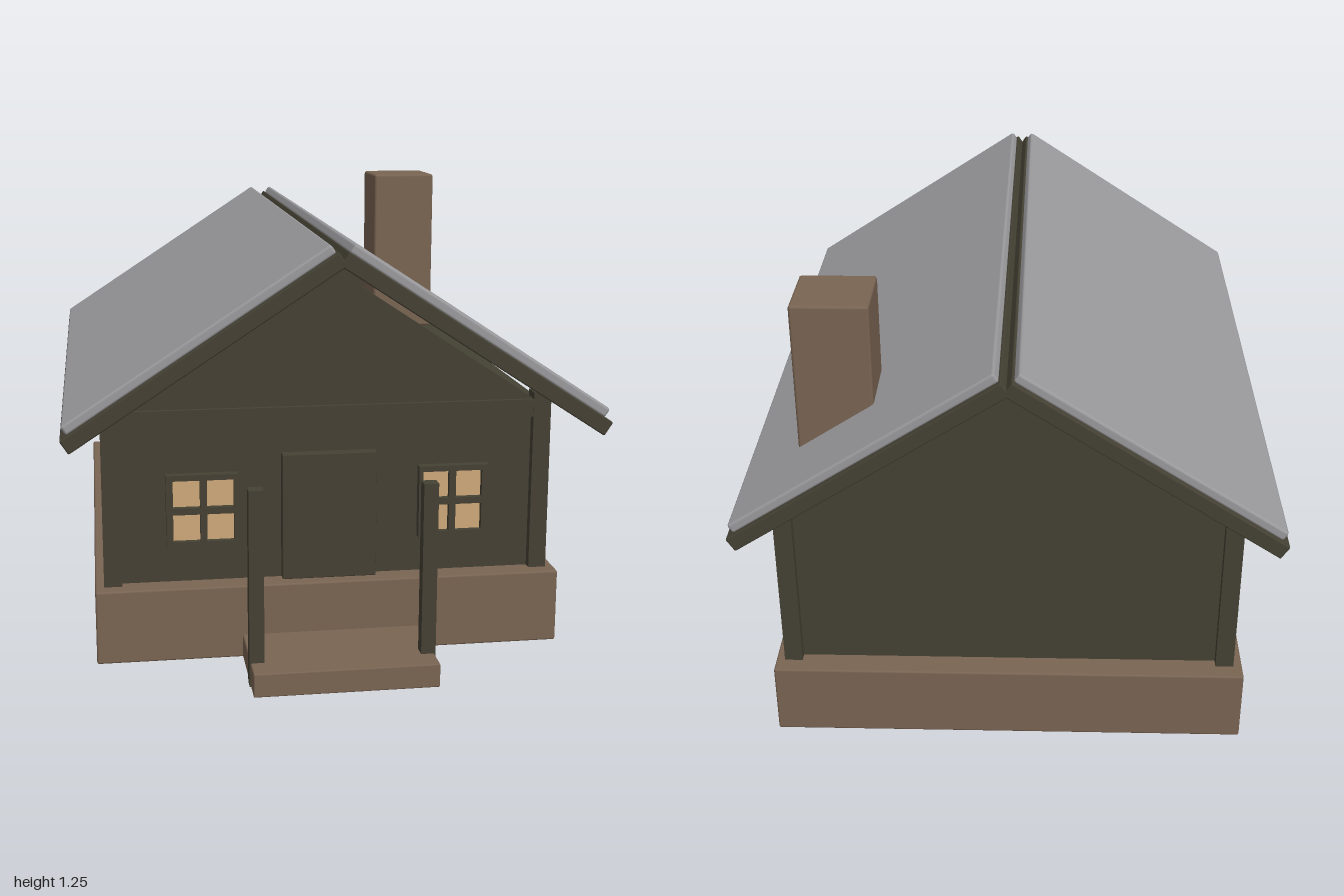
import * as THREE from 'three';
import { RoundedBoxGeometry } from 'three/addons/geometries/RoundedBoxGeometry.js';

const mat = (name, color) => {
  const m = new THREE.MeshStandardMaterial({ color });
  m.name = name;
  return m;
};

export function createModel() {
  const house = new THREE.Group();
  house.name = 'cabin';
  const stone = mat('brownStone', 0x7a6553);
  const wood = mat('darkWood', 0x454134);
  const slate = mat('greyRoofing', 0x9b9b9e);
  const glow = mat('litWindow', 0xcfaa7b);

  // Box given by its limits on each axis; bevel softens the edges
  function box(name, material, [x0, x1], [y0, y1], [z0, z1], bevel = 0, parent = house) {
    const size = [x1 - x0, y1 - y0, z1 - z0];
    const geo = bevel ? new RoundedBoxGeometry(...size, 1, bevel) : new THREE.BoxGeometry(...size);
    const mesh = new THREE.Mesh(geo, material);
    mesh.name = name;
    mesh.position.set((x0 + x1) / 2, (y0 + y1) / 2, (z0 + z1) / 2);
    parent.add(mesh);
    return mesh;
  }

  // Foundation, porch step and chimney
  box('foundation', stone, [-0.655, 0.655], [0, 0.21], [-0.935, 0.725], 0.006);
  box('porchStep', stone, [-0.25, 0.25], [0, 0.066], [0.71, 1], 0.004);
  box('chimney', stone, [0.36, 0.57], [0.7, 1.245], [-0.755, -0.55], 0.008);

  // Walls, front beam and door
  box('walls', wood, [-0.605, 0.605], [0.2, 0.7], [-0.865, 0.66]);
  box('frontBeam', wood, [-0.63, 0.63], [0.655, 0.705], [0.64, 0.683]);
  box('door', wood, [-0.133, 0.133], [0.21, 0.572], [0.65, 0.69], 0.003);

  // Gable triangles, front and back
  const triangle = new THREE.Shape([
    new THREE.Vector2(-0.59, 0.7), new THREE.Vector2(0.59, 0.7), new THREE.Vector2(0, 1.09),
  ]);
  for (const [name, z] of [['frontGable', 0.635], ['backGable', -0.88]]) {
    const gable = new THREE.Mesh(
      new THREE.ExtrudeGeometry(triangle, { depth: 0.035, bevelEnabled: false }), wood);
    gable.name = name;
    gable.position.z = z;
    house.add(gable);
  }

  // Parts mirrored left and right
  for (const s of [1, -1]) {
    const side = s > 0 ? 'left' : 'right';
    const span = (a, b) => (s > 0 ? [a, b] : [-b, -a]);

    box(side + 'FrontCornerPost', wood, span(0.58, 0.63), [0.2, 0.725], [0.635, 0.685]);
    box(side + 'BackCornerPost', wood, span(0.58, 0.63), [0.2, 0.725], [-0.89, -0.84]);
    box(side + 'PorchPost', wood, span(0.213, 0.253), [0, 0.543], [0.89, 0.927]);
    box(side + 'SideWindow', glow, span(0.59, 0.622), [0.335, 0.505], [-0.205, -0.005], 0.003);

    // Front window: lit pane behind a frame with crossing bars
    const win = new THREE.Group();
    win.name = side + 'FrontWindow';
    house.add(win);
    box('pane', glow, span(0.265, 0.44), [0.325, 0.51], [0.66, 0.668], 0, win);
    const frontZ = [0.655, 0.685];
    for (const x of [[0.255, 0.267], [0.342, 0.361], [0.436, 0.455]])
      box('uprightBar', wood, span(...x), [0.315, 0.522], frontZ, 0, win);
    for (const y of [[0.315, 0.331], [0.409, 0.428], [0.506, 0.522]])
      box('crossBar', wood, span(0.255, 0.455), y, frontZ, 0, win);

    // Roof slope: local -x runs from the eave up to the ridge
    const slope = new THREE.Group();
    slope.name = side + 'RoofSlope';
    slope.position.set(s * 0.71, 0.65, 0);
    slope.rotation.z = -s * 0.579;
    house.add(slope);
    box('roofDeck', wood, span(-0.86, 0), [0, 0.043], [-0.997, 0.903], 0.004, slope);
    box('roofCovering', slate, span(-0.855, -0.02), [0.04, 0.069], [-0.982, 0.886], 0.008, slope);
  }

  return house;
}
